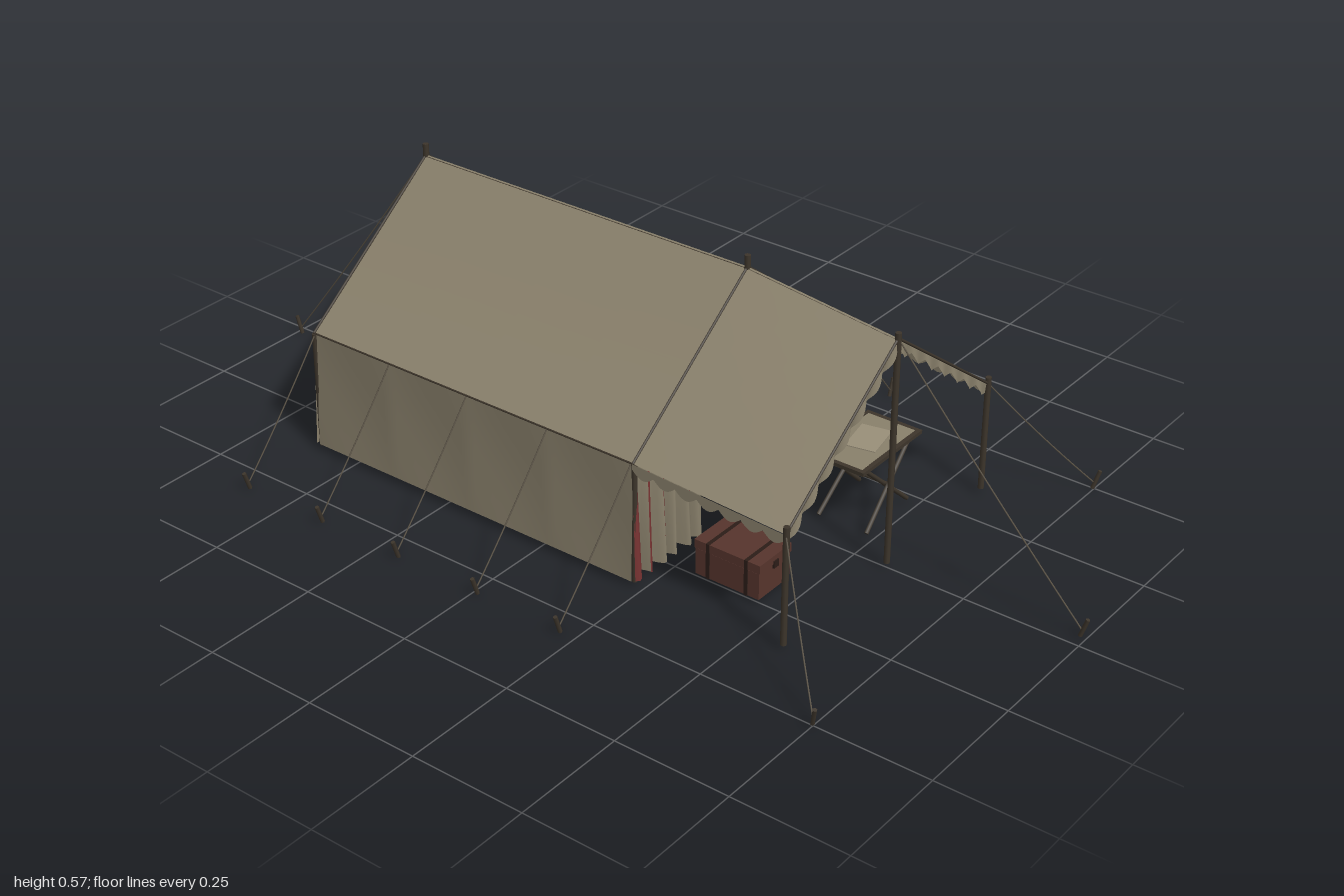
import * as THREE from 'three';

const mat = (color) => new THREE.MeshStandardMaterial({ color, roughness: 0.9, side: THREE.DoubleSide });
const CANVAS = mat(0x8a816c), RED = mat(0x7a3433), WOOD = mat(0x3d352b), TRUNK = mat(0x57352d);
const HIDE = mat(0x261d1d), STRAP = mat(0x2c1d18), ROPE = mat(0x5a5245), PAPER = mat(0x9a907a);
const V = (x, y, z) => new THREE.Vector3(x, y, z);

// Main dimensions
const EAVE_X = 0.355, EAVE_Y = 0.275, RIDGE = 0.545, FRONT = 0.23, BACK = -0.597;
const AW_Z = 0.575, AW_X = 0.347, AW_Y = 0.252, AW_RIDGE = 0.505;

export function createModel() {
  const root = new THREE.Group();
  const group = (name, parent = root) => {
    const g = new THREE.Group();
    g.name = name;
    parent.add(g);
    return g;
  };
  const add = (name, geo, material, parent = root) => {
    const m = new THREE.Mesh(geo, material);
    m.name = name;
    parent.add(m);
    return m;
  };
  // Cloth sheet from a rule f(u, v) -> point
  const sheet = (name, f, nu, nv, material, parent = root) => {
    const geo = new THREE.PlaneGeometry(1, 1, nu, nv);
    const p = geo.attributes.position;
    for (let i = 0; i < p.count; i++) {
      const q = f(p.getX(i) + 0.5, p.getY(i) + 0.5);
      p.setXYZ(i, q.x, q.y, q.z);
    }
    geo.computeVertexNormals();
    return add(name, geo, material, parent);
  };
  const box = (name, w, h, d, x, y, z, material, parent) => {
    const m = add(name, new THREE.BoxGeometry(w, h, d), material, parent);
    m.position.set(x, y, z);
    return m;
  };
  // Round bar between two points
  const bar = (name, a, b, r, material = WOOD, parent = root, sides = 8) => {
    const m = add(name, new THREE.CylinderGeometry(r, r, a.distanceTo(b), sides), material, parent);
    m.position.copy(a).lerp(b, 0.5);
    m.quaternion.setFromUnitVectors(V(0, 1, 0), b.clone().sub(a).normalize());
    return m;
  };

  // Roof, walls, awning and valance, mirrored left and right
  for (const s of [1, -1]) {
    sheet('roofPanel', (u, v) => V(s * EAVE_X * u, RIDGE + (EAVE_Y - RIDGE) * u - 0.004 * Math.sin(Math.PI * u), FRONT + (BACK - FRONT) * v), 8, 4, CANVAS);
    sheet('awningPanel', (u, v) => {
      const ridge = RIDGE + (AW_RIDGE - RIDGE) * v, eave = EAVE_Y + (AW_Y - EAVE_Y) * v;
      return V(s * u * (EAVE_X + (AW_X - EAVE_X) * v), ridge + (eave - ridge) * u, FRONT + (AW_Z - FRONT) * v);
    }, 6, 6, CANVAS);
    sheet('sideWall', (u, v) => V(
      s * (0.361 - 0.007 * v - 0.004 * Math.sin(Math.PI * v) * Math.abs(Math.sin(4 * Math.PI * u))),
      0.014 + v * (EAVE_Y - 0.014), FRONT + (BACK - FRONT) * u), 48, 6, CANVAS);
    sheet('sideValance', (u, v) => V(
      s * (EAVE_X + (AW_X - EAVE_X) * u + 0.002),
      EAVE_Y + (AW_Y - EAVE_Y) * u - v * (0.012 + 0.014 * Math.abs(Math.sin(7 * Math.PI * u))),
      FRONT + (AW_Z - FRONT) * u), 84, 1, CANVAS);
    sheet('frontValance', (u, v) => V(
      s * AW_X * u, AW_RIDGE + (AW_Y - AW_RIDGE) * u - v * (0.017 + 0.016 * Math.abs(Math.sin(7 * Math.PI * u))),
      AW_Z + 0.004 * v * Math.sin(14 * Math.PI * u)), 84, 1, CANVAS);

    // Edge cords along the gables and eaves
    for (const [z, ex, ey, r] of [[AW_Z, AW_X, AW_Y, AW_RIDGE], [FRONT, EAVE_X, EAVE_Y, RIDGE], [BACK, EAVE_X, EAVE_Y, RIDGE]])
      bar('gableCord', V(0, r, z), V(s * ex, ey, z), 0.003, WOOD, root, 6);
    bar('eaveCord', V(s * EAVE_X, EAVE_Y, FRONT), V(s * EAVE_X, EAVE_Y, BACK), 0.002, WOOD, root, 6);

    // Corner poles
    bar('awningPole', V(s * 0.345, 0.01, AW_Z), V(s * 0.345, 0.268, AW_Z), 0.0065);
    bar('frontCornerPole', V(s * 0.35, 0.01, FRONT), V(s * 0.35, 0.272, FRONT), 0.006);
    bar('backCornerPole', V(s * 0.353, 0.01, BACK), V(s * 0.353, 0.272, BACK), 0.006);

    // Striped front curtain with folds
    const curtain = group(s > 0 ? 'leftCurtain' : 'rightCurtain');
    const n = 10, x0 = 0.145, x1 = 0.355;
    for (let i = 0; i < n; i++)
      sheet(i % 2 ? 'redStripe' : 'paleStripe', (u, v) => {
        const t = (i + u) / n, low = 1 - v;
        return V(s * (x0 + (x1 - x0) * t + 0.004 * low * Math.sin(t * 19)),
          0.014 + 0.004 * Math.sin(t * 25) ** 2 + v * 0.258,
          FRONT - 0.004 + (0.006 + 0.012 * low) * Math.sin(t * 34));
      }, 5, 5, i % 2 ? RED : CANVAS, curtain);
  }

  // Gables and back wall
  for (const [name, z] of [['frontGable', FRONT - 0.002], ['backGable', BACK + 0.002]])
    sheet(name, (u, v) => V((2 * u - 1) * EAVE_X * (1 - v), EAVE_Y + (RIDGE - EAVE_Y) * v, z), 8, 8, CANVAS);
  sheet('backWall', (u, v) => V((2 * u - 1) * (0.361 - 0.006 * v), 0.014 + (EAVE_Y - 0.014) * v, BACK - 0.008 * (1 - v)), 12, 4, CANVAS);

  // Ridge frame
  bar('frontPole', V(0, 0.01, AW_Z), V(0, 0.517, AW_Z), 0.0065);
  bar('middlePole', V(0, 0.27, FRONT), V(0, 0.57, FRONT), 0.0065);
  bar('backPole', V(0, 0.01, BACK), V(0, 0.57, BACK), 0.0065);
  bar('ridgePole', V(0, RIDGE - 0.006, FRONT), V(0, RIDGE - 0.006, BACK), 0.005);
  bar('awningRidgePole', V(0, RIDGE - 0.006, FRONT), V(0, AW_RIDGE - 0.006, AW_Z), 0.005);
  for (const z of [FRONT, BACK]) bar('crossPole', V(-EAVE_X, EAVE_Y, z), V(EAVE_X, EAVE_Y, z), 0.0035, WOOD, root, 6);

  // Guy ropes with pegs
  const guy = (a, b) => {
    const g = group('guyRope');
    const mid = a.clone().lerp(b, 0.5);
    mid.y -= 0.012;
    add('rope', new THREE.TubeGeometry(new THREE.QuadraticBezierCurve3(a, mid, b), 10, 0.0016, 5), ROPE, g);
    const out = b.clone().sub(a).setY(0).normalize();
    bar('peg', b.clone().addScaledVector(out, -0.004).setY(0), b.clone().addScaledVector(out, 0.009).setY(0.04), 0.0045, WOOD, g, 6);
  };
  guy(V(0, AW_RIDGE, AW_Z), V(0.03, 0.012, 0.99));
  guy(V(0, RIDGE, BACK), V(-0.02, 0.012, -0.99));
  for (const s of [1, -1]) {
    guy(V(s * AW_X, AW_Y, AW_Z), V(s * 0.5, 0.012, 0.75));
    for (let i = 0; i < 5; i++) {
      const z = 0.225 - i * 0.205;
      guy(V(s * EAVE_X, EAVE_Y - 0.003, z), V(s * 0.56, 0.012, z - 0.01));
    }
  }

  // Trunks with lid, straps and latch
  const trunk = (name, x, z, w, d, h) => {
    const g = group(name);
    g.position.set(x, 0.01, z);
    box('chestBody', w, h * 0.74, d, 0, h * 0.37, 0, TRUNK, g);
    box('chestLid', w * 1.03, h * 0.24, d * 1.03, 0, h * 0.88, 0, TRUNK, g);
    for (const s of [1, -1]) box('strap', w * 1.05, h * 1.01, 0.008, 0, h * 0.505, s * d * 0.3, STRAP, g);
    box('latch', 0.015, 0.016, d * 1.06, 0, h * 0.75, 0, STRAP, g);
  };
  trunk('frontTrunk', -0.207, 0.38, 0.1, 0.15, 0.078);
  trunk('backTrunk', 0.26, -0.51, 0.1, 0.1, 0.078);

  // Folding furniture: X legs at each end of a top
  const folding = (name, x, z, w, d, h, legW, r) => {
    const g = group(name);
    g.position.set(x, 0.01, z);
    for (const e of [1, -1]) {
      for (const s of [1, -1])
        bar('leg', V(-s * legW / 2, 0, e * d * 0.44 + s * r), V(s * legW / 2, h - 0.004, e * d * 0.36 + s * r), r, WOOD, g, 6);
      box('topRail', w, 0.008, 0.01, 0, h, e * d * 0.46, WOOD, g);
      box('endRail', 0.01, 0.008, d, e * (w / 2 - 0.005), h, 0, WOOD, g);
    }
    bar('stretcher', V(0, h / 2, -d * 0.42), V(0, h / 2, d * 0.42), r * 0.8, WOOD, g, 6);
    return g;
  };
  const table = folding('foldingTable', 0.14, 0.425, 0.21, 0.13, 0.148, 0.16, 0.005);
  box('tableTop', 0.2, 0.006, 0.12, 0, 0.149, 0, CANVAS, table);
  const map = box('paperSheet', 0.09, 0.002, 0.065, 0.01, 0.154, 0, PAPER, table);
  map.rotation.y = 0.2;
  const stool = folding('foldingStool', 0.105, 0.265, 0.07, 0.06, 0.078, 0.065, 0.004);
  box('stoolSeat', 0.064, 0.004, 0.055, 0, 0.079, 0, CANVAS, stool);
  const cot = group('cot');
  cot.position.set(-0.27, 0.01, -0.36);
  box('cotBed', 0.12, 0.006, 0.38, 0, 0.085, 0, CANVAS, cot);
  for (const s of [1, -1]) {
    bar('cotRail', V(s * 0.062, 0.085, -0.2), V(s * 0.062, 0.085, 0.2), 0.005, WOOD, cot);
    for (const z of [-0.16, 0, 0.16]) bar('cotLeg', V(-s * 0.06, 0, z + s * 0.005), V(s * 0.06, 0.085, z + s * 0.005), 0.004, WOOD, cot, 6);
  }

  // Hide rug on the ground
  const outline = [[0.25, -0.12], [0.09, -0.06], [-0.06, -0.13], [-0.16, -0.23], [-0.14, -0.36], [-0.15, -0.49], [0.04, -0.5], [0.13, -0.53], [0.26, -0.44], [0.25, -0.29]];
  const curve = new THREE.CatmullRomCurve3(outline.map(([x, z]) => V(x, -z, 0)), true);
  const rug = add('hideRug', new THREE.ExtrudeGeometry(new THREE.Shape(curve.getPoints(50).map((p) => new THREE.Vector2(p.x, p.y))), { depth: 0.005, bevelEnabled: false }), HIDE);
  rug.rotation.x = -Math.PI / 2;
  rug.position.y = 0.01;

  return root;
}
